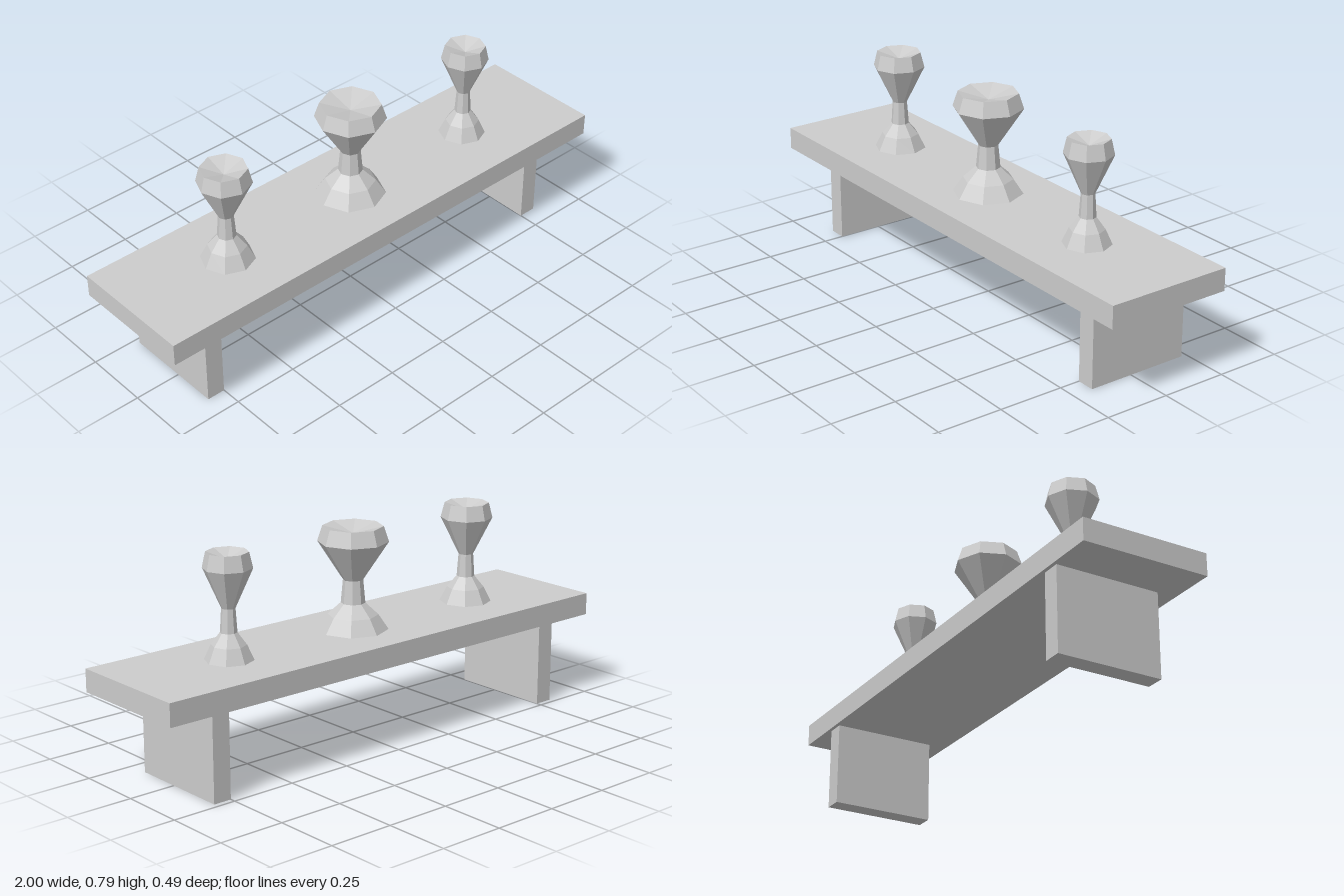
import * as THREE from 'three';

export function createModel() {
  const model = new THREE.Group();
  const stone = new THREE.MeshStandardMaterial({ color: 0xcccccc });
  stone.name = 'pale grey';

  function add(geometry, name, x, y, z) {
    const mesh = new THREE.Mesh(geometry, stone);
    mesh.name = name;
    mesh.position.set(x, y, z);
    model.add(mesh);
    return mesh;
  }

  // Table top and two slab legs, set slightly towards the back
  add(new THREE.BoxGeometry(2, 0.085, 0.486), 'tableTop', 0, 0.3595, 0);
  for (const side of [-1, 1]) {
    add(new THREE.BoxGeometry(0.07, 0.317, 0.4), side > 0 ? 'leftLeg' : 'rightLeg', side * 0.785, 0.1585, -0.029);
  }

  // Eight-sided goblet: flared foot, narrow stem, wide cup with a shallow hollow
  const profile = [
    [0, 0], [0.13, 0], [0.093, 0.055], [0.045, 0.099], [0.037, 0.186],
    [0.13, 0.328], [0.111, 0.385], [0, 0.357],
  ].map(([r, y]) => new THREE.Vector2(r, y));
  const goblet = new THREE.LatheGeometry(profile, 8).toNonIndexed();
  goblet.computeVertexNormals();

  // Same height, different widths
  const goblets = [
    ['rightGoblet', -0.574, 0.755],
    ['middleGoblet', 0, 1],
    ['leftGoblet', 0.57, 0.68],
  ];
  for (const [name, x, width] of goblets) {
    add(goblet, name, x, 0.402, 0).scale.set(width, 1, width);
  }

  return model;
}
